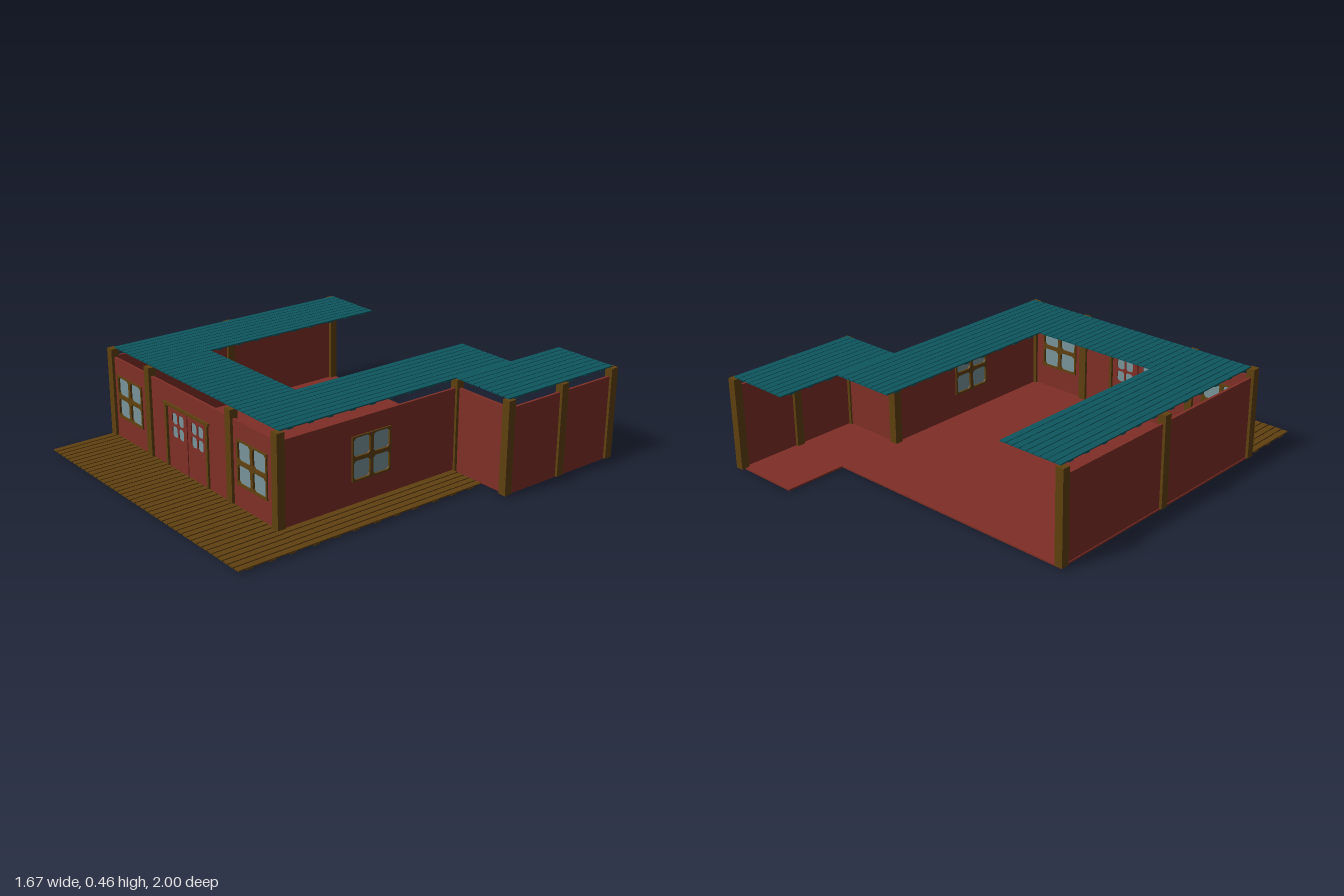
import * as THREE from 'three';
import { mergeGeometries } from 'three/addons/utils/BufferGeometryUtils.js';

const mat = (name, color) => {
  const m = new THREE.MeshStandardMaterial({ color });
  m.name = name;
  return m;
};

export function createModel() {
  const red = mat('red wall', 0x7f2f26);
  const wood = mat('brown wood', 0x5f400f);
  const teal = mat('teal roof', 0x0d565e);
  const glass = mat('window glass', 0x78939a);
  const house = new THREE.Group();
  house.name = 'house';

  const add = (name, geometry, material, parent = house) => {
    const m = new THREE.Mesh(geometry, material);
    m.name = name;
    parent.add(m);
    return m;
  };
  // box given by its limits
  const block = (x0, x1, y0, y1, z0, z1) =>
    new THREE.BoxGeometry(x1 - x0, y1 - y0, z1 - z0)
      .translate((x0 + x1) / 2, (y0 + y1) / 2, (z0 + z1) / 2);
  // closed rectangle with cut corners
  const rect = (Type, x0, x1, y0, y1, c = 0) => {
    const pts = c
      ? [[x0 + c, y0], [x1 - c, y0], [x1, y0 + c], [x1, y1 - c], [x1 - c, y1], [x0 + c, y1], [x0, y1 - c], [x0, y0 + c]]
      : [[x0, y0], [x1, y0], [x1, y1], [x0, y1]];
    return new Type(pts.map(([x, y]) => new THREE.Vector2(x, y)));
  };
  // flat panel with rectangular holes, centred on z = 0
  const panel = (x0, x1, y0, y1, depth, holes = [], c = 0) => {
    const s = rect(THREE.Shape, x0, x1, y0, y1);
    holes.forEach(h => s.holes.push(rect(THREE.Path, ...h, c)));
    return new THREE.ExtrudeGeometry(s, { depth, bevelEnabled: false }).translate(0, 0, -depth / 2);
  };
  // two by two panes inside a rectangle
  const panes = (cx, cy, w, h, bar) => {
    const list = [];
    for (const sx of [-1, 1]) for (const sy of [-1, 1]) {
      const px = cx + sx * (w + bar) / 2, py = cy + sy * (h + bar) / 2;
      list.push([px - w / 2, px + w / 2, py - h / 2, py + h / 2]);
    }
    return list;
  };

  // floor
  add('mainFloor', block(-0.83, 0.485, 0.004, 0.012, -0.67, 0.665), red);
  add('wingFloor', block(0.485, 0.82, 0.004, 0.012, -0.98, -0.33), red);

  // walls
  const T = 0.012, LOW = 0.01, TOP = 0.413;
  const windowHole = cx => [cx - 0.102, cx + 0.102, 0.129, 0.327];
  const addWindow = (cx, parent) => {
    add('windowFrame', panel(cx - 0.108, cx + 0.108, 0.124, 0.333, 0.026,
      panes(cx, 0.229, 0.09, 0.088, 0.018), 0.011), wood, parent);
    add('windowGlass', block(cx - 0.1, cx + 0.1, 0.131, 0.325, -0.003, 0.003), glass, parent);
  };

  const front = new THREE.Group();
  front.name = 'frontWall';
  front.position.z = 0.66;
  house.add(front);
  add('wallLeftOfDoor', panel(-0.825, -0.345, LOW, TOP, T, [windowHole(-0.665)]), red, front);
  add('wallRightOfDoor', panel(-0.015, 0.49, LOW, TOP, T, [windowHole(0.318)]), red, front);
  add('wallAboveDoor', panel(-0.345, -0.015, 0.325, TOP, T), red, front);
  addWindow(-0.665, front);
  addWindow(0.318, front);

  const side = new THREE.Group();
  side.name = 'sideWall';
  side.position.x = 0.492;
  side.rotation.y = Math.PI / 2;
  house.add(side);
  add('sideWallPanel', panel(-0.66, 0.33, LOW, TOP, T, [windowHole(-0.175)]), red, side);
  addWindow(-0.175, side);

  add('farSideWall', block(-0.826, -0.814, LOW, TOP, -0.66, 0.66), red);
  add('wingFrontWall', block(0.49, 0.82, LOW, TOP, -0.336, -0.324), red);
  add('wingSideWall', block(0.81, 0.822, LOW, TOP, -0.98, -0.33), red);

  // double door with surround
  for (const [x0, x1, cx] of [[-0.336, -0.184, -0.257], [-0.177, -0.026, -0.101]]) {
    add('doorLeaf', panel(x0, x1, 0.014, 0.317, 0.012, panes(cx, 0.232, 0.042, 0.054, 0.01), 0.009), red, front);
    add('doorGlass', block(cx - 0.05, cx + 0.05, 0.172, 0.292, -0.002, 0.002), glass, front);
  }
  for (const x of [-0.345, -0.015])
    add('doorPost', block(x - 0.007, x + 0.007, 0, 0.32, -0.014, 0.016), wood, front);
  add('doorLintel', block(-0.362, 0.002, 0.319, 0.331, -0.016, 0.018), wood, front);
  for (const y of [0.06, 0.14, 0.2, 0.29])
    add('doorHinge', block(-0.027, -0.02, y, y + 0.02, 0.006, 0.014), wood, front);

  // posts
  const posts = [
    [-0.82, 0.66], [-0.49, 0.66], [0.16, 0.66], [0.49, 0.66],
    [-0.82, 0], [-0.82, -0.655], [0.49, -0.33],
    [0.815, -0.325], [0.815, -0.655], [0.815, -0.98],
  ];
  for (const [x, z] of posts)
    add('post', block(x - 0.02, x + 0.02, 0.01, 0.453, z - 0.02, z + 0.02), wood);

  // boards along z, laid on cross battens
  const boards = (name, material, x0, x1, z0, z1, top, gap, pitch = 0.0367) => {
    const parts = [];
    const n = Math.round((x1 - x0) / pitch), step = (x1 - x0) / n;
    for (let i = 0; i < n; i++)
      parts.push(block(x0 + i * step + gap / 2, x0 + (i + 1) * step - gap / 2, top - 0.006, top, z0, z1));
    const tiles = Math.max(1, Math.round((z1 - z0) / 0.33)), len = (z1 - z0) / tiles;
    for (let t = 0; t < tiles; t++) for (const f of [0.19, 0.5, 0.83]) {
      const z = z0 + (t + f) * len;
      parts.push(block(x0 + 0.002, x1 - 0.002, top - 0.011, top - 0.005, z - 0.014, z + 0.014));
    }
    add(name, mergeGeometries(parts), material);
  };

  // roof strips around the open court
  const R = 0.46;
  boards('roofFarSide', teal, -0.815, -0.49, -0.66, 0.655, R, 0.004);
  boards('roofFront', teal, -0.49, 0.17, 0.33, 0.655, R, 0.004);
  boards('roofSide', teal, 0.17, 0.495, -0.66, 0.655, R, 0.004);
  boards('roofWing', teal, 0.49, 0.82, -0.98, -0.32, R, 0.004);

  // veranda decking
  boards('deckFront', wood, -0.833, 0.69, 0.67, 1, 0.021, 0.007);
  boards('deckSide', wood, 0.5, 0.69, -0.305, 0.67, 0.021, 0.007);

  return house;
}
